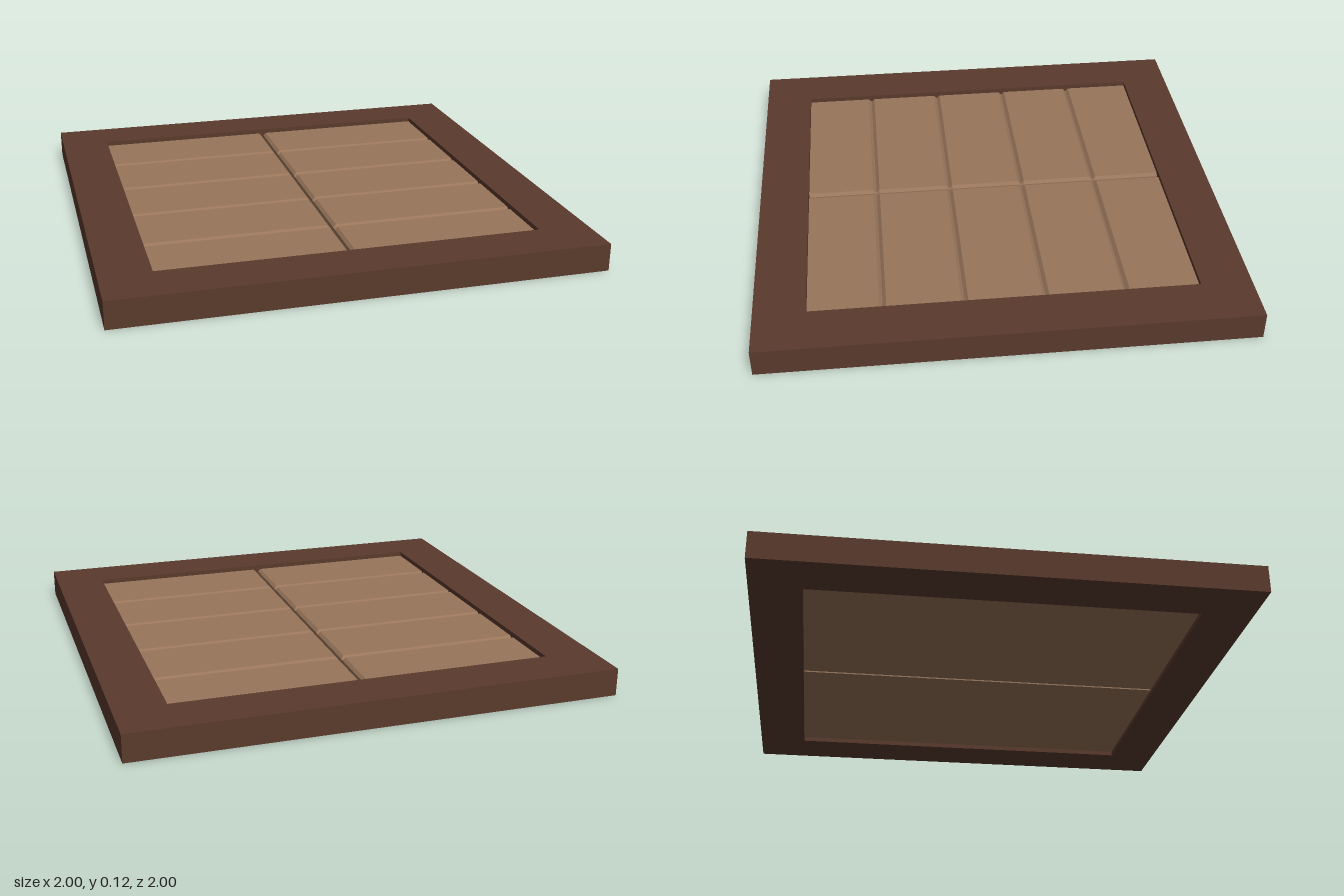
import * as THREE from 'three';

const HEIGHT = 0.115, OPENING = 0.79, GAP = 0.006;
const PANEL_BOTTOM = 0.02, PANEL_TOP = 0.095;
const GROOVE_HALF = 0.014, GROOVE_DEPTH = 0.014, CHAMFER = 0.012;

// Square ring with a square opening
function frameGeometry() {
  const square = (C, r) => new C([[-r, -r], [r, -r], [r, r], [-r, r]].map(([x, y]) => new THREE.Vector2(x, y)));
  const ring = square(THREE.Shape, 1);
  ring.holes.push(square(THREE.Path, OPENING));
  return new THREE.ExtrudeGeometry(ring, { depth: HEIGHT, bevelEnabled: false }).rotateX(-Math.PI / 2);
}

// Half panel: grooved profile extruded outwards from the centre gap
function panelGeometry() {
  const profile = new THREE.Shape();
  profile.moveTo(-OPENING, PANEL_BOTTOM);
  profile.lineTo(OPENING, PANEL_BOTTOM);
  profile.lineTo(OPENING, PANEL_TOP);
  for (const z of [0.49, 0.163, -0.163, -0.49]) {
    profile.lineTo(z + GROOVE_HALF, PANEL_TOP);
    profile.lineTo(z, PANEL_TOP - GROOVE_DEPTH);
    profile.lineTo(z - GROOVE_HALF, PANEL_TOP);
  }
  profile.lineTo(-OPENING, PANEL_TOP);
  profile.closePath();

  const depth = OPENING - GAP;
  const geometry = new THREE.ExtrudeGeometry(profile, { depth, steps: 2, bevelEnabled: false });

  // Chamfer the upper edge along the gap
  const p = geometry.attributes.position;
  for (let i = 0; i < p.count; i++) {
    const z = p.getZ(i);
    if (z < 0.001) p.setY(i, Math.min(p.getY(i), PANEL_TOP - CHAMFER));
    else if (z < depth - 0.001) p.setZ(i, CHAMFER);
  }
  geometry.computeVertexNormals();
  return geometry.translate(0, 0, GAP).rotateY(Math.PI / 2);
}

export function createModel() {
  const darkWood = new THREE.MeshStandardMaterial({ color: 0x5a3a2c });
  darkWood.name = 'dark wood';
  const lightWood = new THREE.MeshStandardMaterial({ color: 0x98755a });
  lightWood.name = 'light wood';

  const model = new THREE.Group();
  model.name = 'framedPanel';

  const frame = new THREE.Mesh(frameGeometry(), darkWood);
  frame.name = 'frame';
  model.add(frame);

  // Two matching halves either side of the gap
  const geometry = panelGeometry();
  for (const [name, turn] of [['leftPanel', 0], ['rightPanel', Math.PI]]) {
    const panel = new THREE.Mesh(geometry, lightWood);
    panel.name = name;
    panel.rotation.y = turn;
    model.add(panel);
  }
  return model;
}
